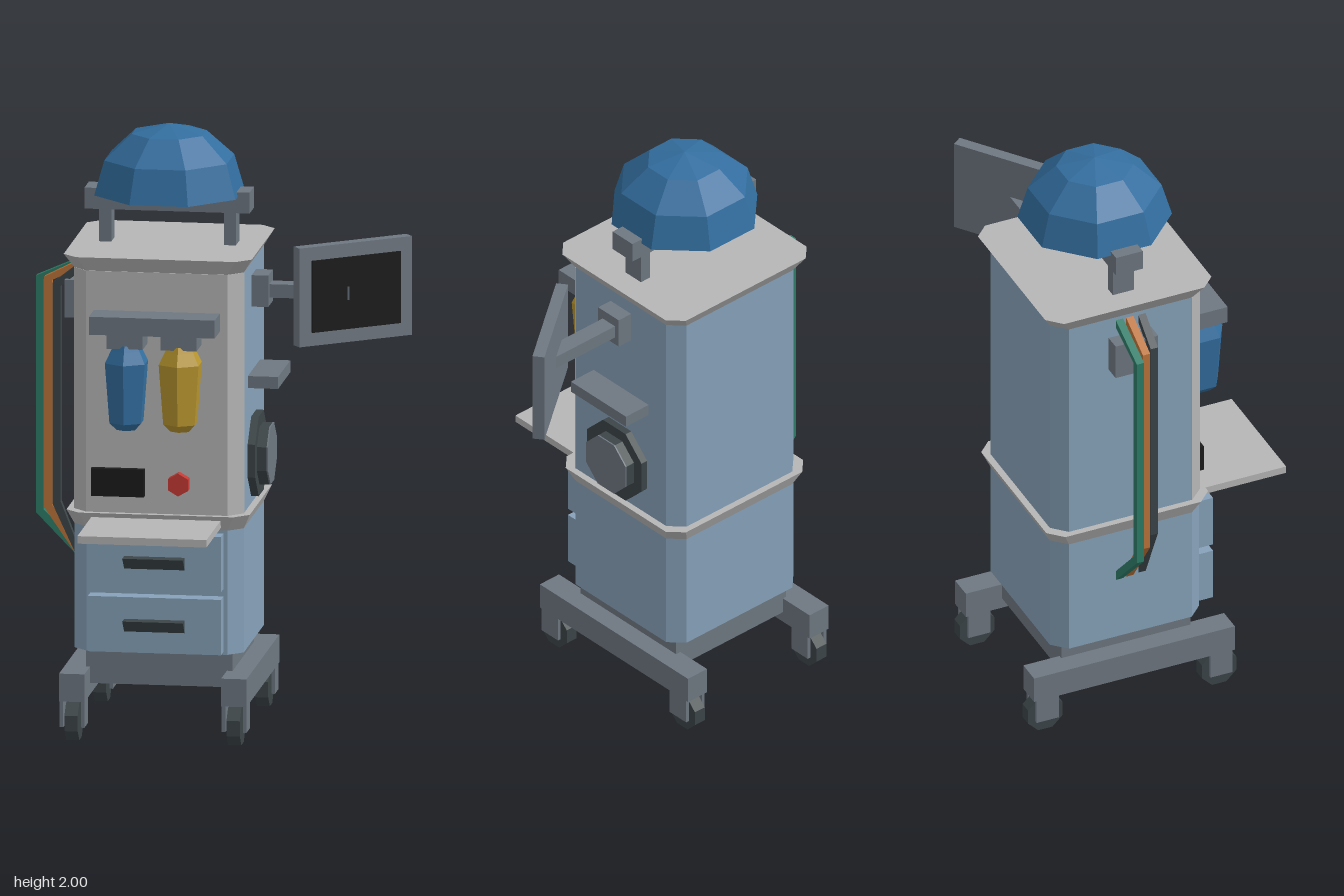
import * as THREE from 'three';

const mat = (name, color) => {
  const m = new THREE.MeshStandardMaterial({ color, flatShading: true });
  m.name = name;
  return m;
};

export function createModel() {
  const root = new THREE.Group();
  root.name = 'medicalCart';
  const shell = mat('shellGrey', 0xb6b6b6);
  const body = mat('bodyBlue', 0x87a2ba);
  const frame = mat('frameGrey', 0x6e7781);
  const dark = mat('darkRubber', 0x3c4548);
  const black = mat('screenBlack', 0x1b1b1b);
  const blue = mat('domeBlue', 0x336e9f);
  const yellow = mat('bottleYellow', 0xb9962f);
  const red = mat('buttonRed', 0xc43a35);
  const green = mat('cableGreen', 0x2d7d68);
  const orange = mat('cableOrange', 0xbd7439);

  const CX = -0.17, CZ = -0.105;

  const add = (name, geometry, material, parent = root) => {
    const mesh = new THREE.Mesh(geometry, material);
    mesh.name = name;
    parent.add(mesh);
    return mesh;
  };
  // Box given by its limits on each axis
  const box = (name, material, x0, x1, y0, y1, z0, z1, parent = root) => {
    const mesh = add(name, new THREE.BoxGeometry(x1 - x0, y1 - y0, z1 - z0), material, parent);
    mesh.position.set((x0 + x1) / 2, (y0 + y1) / 2, (z0 + z1) / 2);
    return mesh;
  };
  const extrude = (points, depth) => new THREE.ExtrudeGeometry(
    new THREE.Shape(points.map(([x, y]) => new THREE.Vector2(x, y))),
    { depth, bevelEnabled: false });
  // Upright block with chamfered corners whose top edge flares outwards
  const block = (name, material, y0, y1, hx, hz, flare = 0) => {
    const c = 0.047;
    const g = extrude([[hx - c, -hz], [hx, c - hz], [hx, hz - c], [hx - c, hz],
      [c - hx, hz], [-hx, hz - c], [-hx, c - hz], [c - hx, -hz]], y1 - y0);
    g.rotateX(-Math.PI / 2);
    const p = g.attributes.position;
    for (let i = 0; i < p.count; i++) {
      if (p.getY(i) > (y1 - y0) / 2) {
        p.setX(i, p.getX(i) + Math.sign(p.getX(i)) * flare);
        p.setZ(i, p.getZ(i) + Math.sign(p.getZ(i)) * flare);
      }
    }
    g.computeVertexNormals();
    return add(name, g, material).position.set(CX, y0, CZ);
  };

  // Cabinet
  block('lowerCabinet', body, 0.285, 0.70, 0.28, 0.268);
  block('middleRim', shell, 0.70, 0.75, 0.28, 0.268, 0.023);
  block('upperCabinet', body, 0.75, 1.555, 0.28, 0.268);
  block('topCap', shell, 1.555, 1.605, 0.28, 0.268, 0.031);
  box('base', frame, -0.41, 0.075, 0.17, 0.285, -0.335, 0.13);

  // Front cover wraps the front face and both front chamfers
  const cover = extrude([[-0.282, -0.221], [-0.234, -0.271], [0.234, -0.271], [0.282, -0.221],
    [0.278, -0.215], [0.232, -0.264], [-0.232, -0.264], [-0.278, -0.215]], 0.805);
  cover.rotateX(-Math.PI / 2);
  add('frontCover', cover, shell).position.set(CX, 0.75, CZ);

  // Rails, forks and castors
  for (const side of [-1, 1]) {
    const x = CX + side * 0.268;
    box('footRail', frame, x - 0.042, x + 0.042, 0.132, 0.225, -0.465, 0.257);
    for (const z of [-0.415, 0.21]) {
      for (const s of [-1, 1]) {
        const fx = x + s * 0.035;
        box('castorFork', frame, fx - 0.006, fx + 0.006, 0.045, 0.14, z - 0.04, z + 0.04);
      }
      const wheel = new THREE.CylinderGeometry(0.067, 0.067, 0.044, 8);
      wheel.rotateY(Math.PI / 8);
      wheel.rotateZ(Math.PI / 2);
      add('castorWheel', wheel, dark).position.set(x, 0.062, z);
    }
  }

  // Dome with its carrying frame
  const dome = add('dome', new THREE.SphereGeometry(0.253, 8, 3, Math.PI / 8, Math.PI * 2, 0, Math.PI / 2), blue);
  dome.scale.y = 0.909;
  dome.position.set(CX, 1.77, CZ);
  const under = new THREE.CircleGeometry(0.253, 8, Math.PI / 8);
  under.rotateX(Math.PI / 2);
  add('domeUnderside', under, blue).position.set(CX, 1.77, CZ);
  box('domeCrossbar', frame, -0.443, 0.103, 1.715, 1.785, -0.153, -0.057);
  for (const side of [-1, 1]) {
    const x = CX + side * 0.206;
    box('domePost', frame, x - 0.02, x + 0.02, 1.6, 1.72, -0.143, -0.067);
  }

  // Drawers with wedge handles
  for (const y of [0.295, 0.505]) {
    box('drawer', body, -0.39, 0.05, y, y + 0.185, 0.15, 0.22);
    const handle = extrude([[0, 0], [0.045, 0.042], [0, 0.042]], 0.2);
    handle.rotateY(-Math.PI / 2);
    add('drawerHandle', handle, dark).position.set(-0.07, y + 0.07, 0.22);
  }

  // Fold-out tray, display and button
  box('tray', shell, -0.385, 0.042, 0.71, 0.735, 0.15, 0.485);
  box('smallDisplay', black, -0.385, -0.21, 0.808, 0.9, 0.15, 0.19);
  const button = new THREE.CylinderGeometry(0.038, 0.038, 0.05, 6);
  button.rotateX(Math.PI / 2);
  add('redButton', button, red).position.set(-0.095, 0.855, 0.175);

  // Bottle rack
  box('bottleRack', frame, -0.378, 0.038, 1.365, 1.425, 0.15, 0.278);
  const profile = [[0, 1.04], [0.035, 1.045], [0.06, 1.07], [0.076, 1.27], [0.055, 1.31], [0.045, 1.33], [0, 1.33]]
    .map(([r, y]) => new THREE.Vector2(r, y));
  for (const [x, m] of [[-0.26, blue], [-0.082, yellow]]) {
    box('bottleHolder', frame, x - 0.06, x + 0.06, 1.32, 1.37, 0.17, 0.278);
    add('bottle', new THREE.LatheGeometry(profile, 6), m).position.set(x, 0, 0.237);
  }

  // Monitor on its arm
  box('monitorBracket', frame, 0.1, 0.165, 1.405, 1.51, -0.155, -0.055);
  box('monitorArm', frame, 0.16, 0.43, 1.432, 1.477, -0.137, -0.077);
  const monitor = new THREE.Group();
  monitor.name = 'monitor';
  monitor.position.set(0.435, 1.455, -0.12);
  monitor.rotation.y = 0.65;
  root.add(monitor);
  box('monitorCase', frame, -0.21, 0.21, -0.165, 0.165, -0.02, 0.02, monitor);
  box('monitorScreen', black, -0.165, 0.165, -0.12, 0.12, 0.02, 0.027, monitor);

  // Side shelf and octagonal vent
  box('sideShelf', frame, 0.1, 0.21, 1.15, 1.19, -0.24, 0.028);
  for (const [name, m, r, x0, x1] of [['ventRing', dark, 0.144, 0.1, 0.135],
    ['ventHub', dark, 0.104, 0.13, 0.167], ['ventFace', frame, 0.104, 0.167, 0.172]]) {
    const g = new THREE.CylinderGeometry(r, r, x1 - x0, 8);
    g.rotateY(Math.PI / 8);
    g.rotateZ(Math.PI / 2);
    add(name, g, m).position.set((x0 + x1) / 2, 0.907, -0.1);
  }

  // Cables looping down the side from a socket
  box('cableSocket', frame, -0.505, -0.44, 1.355, 1.48, -0.183, -0.03);
  const w = 0.026;
  for (const [name, m, x, yTop, yLow, z] of [['greenCable', green, -0.615, 1.47, 0.68, -0.157],
    ['orangeCable', orange, -0.582, 1.475, 0.705, -0.12], ['darkCable', dark, -0.547, 1.465, 0.725, -0.076]]) {
    add(name, extrude([[-0.445, 1.545], [x, yTop], [x, yLow], [-0.445, 0.505],
      [-0.445, 0.54], [x + w, yLow + 0.01], [x + w, yTop - 0.01], [-0.445, 1.515]], w), m).position.z = z;
  }

  return root;
}
